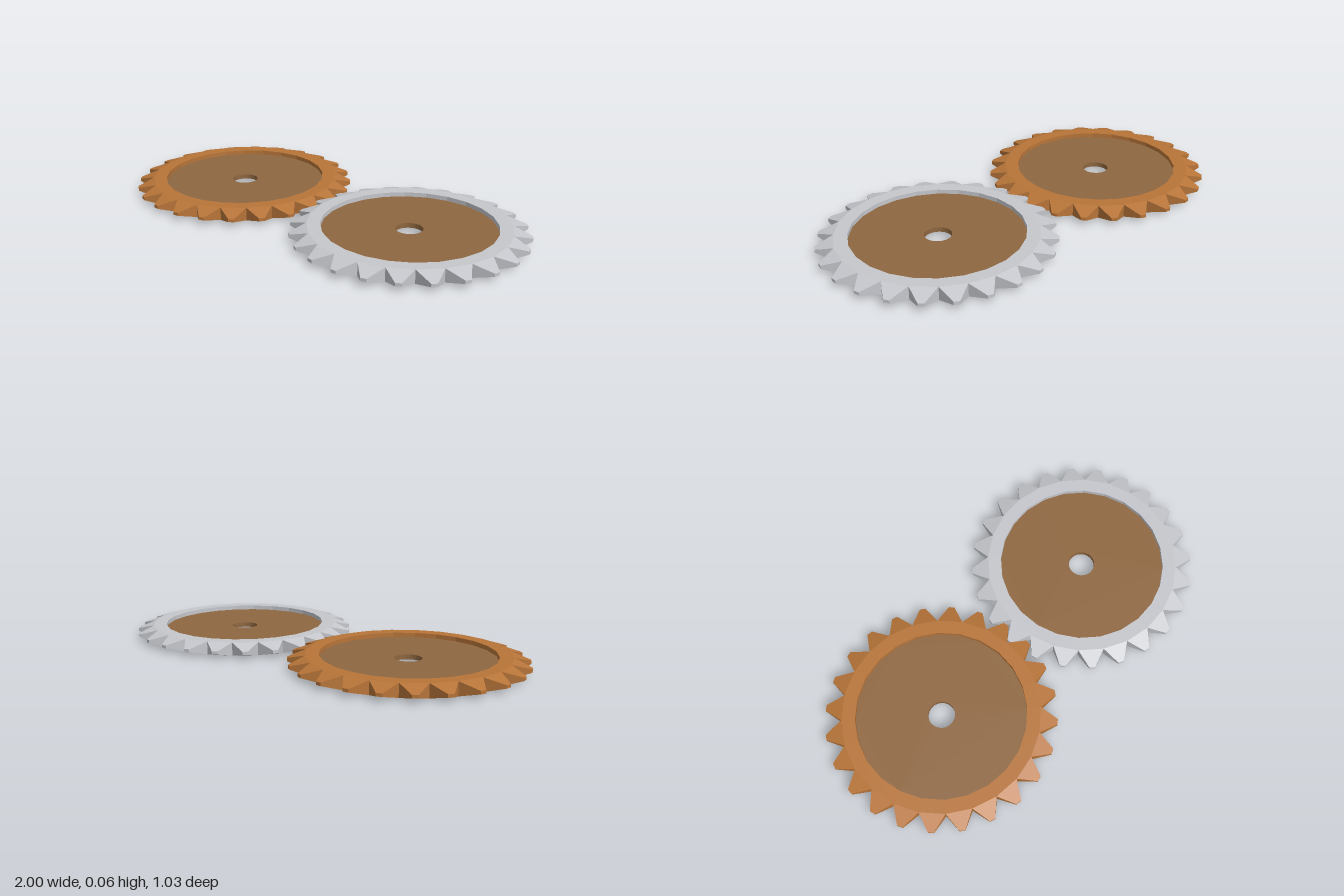
import * as THREE from 'three';

const TEETH = 24, STEP = (Math.PI * 2) / TEETH;
const INNER = 0.38, ROOT = 0.44, TIP = 0.515, HEIGHT = 0.06;

const material = (name, color) => {
  const m = new THREE.MeshStandardMaterial({ color });
  m.name = name;
  return m;
};

// Point on a circle around the gear's axis
const polar = (r, a, y) => [r * Math.cos(a), y, -r * Math.sin(a)];

// Flat ring with teeth that taper to a small blunt tip at mid height
function toothedRingGeometry() {
  const pos = [];
  const quad = (a, b, c, d) => pos.push(...a, ...b, ...c, ...a, ...c, ...d);
  const tipHalf = 0.025, tipLow = 0.023, tipHigh = 0.037;
  for (let i = 0; i < TEETH; i++) {
    const mid = i * STEP, a0 = mid - STEP / 2, a1 = mid + STEP / 2;
    const [i0b, i1b, i0t, i1t] = [[a0, 0], [a1, 0], [a0, HEIGHT], [a1, HEIGHT]].map(([a, y]) => polar(INNER, a, y));
    const [r0b, r1b, r0t, r1t] = [[a0, 0], [a1, 0], [a0, HEIGHT], [a1, HEIGHT]].map(([a, y]) => polar(ROOT, a, y));
    const [t0b, t1b, t0t, t1t] = [[-1, tipLow], [1, tipLow], [-1, tipHigh], [1, tipHigh]]
      .map(([s, y]) => polar(TIP, mid + s * tipHalf, y));
    // rim: top, bottom, inner wall
    quad(i0t, r0t, r1t, i1t);
    quad(i1b, r1b, r0b, i0b);
    quad(i0b, i0t, i1t, i1b);
    // tooth: top, bottom, two flanks, tip
    quad(r0t, t0t, t1t, r1t);
    quad(r1b, t1b, t0b, r0b);
    quad(r0b, t0b, t0t, r0t);
    quad(r1t, t1t, t1b, r1b);
    quad(t0b, t1b, t1t, t0t);
  }
  const g = new THREE.BufferGeometry();
  g.setAttribute('position', new THREE.Float32BufferAttribute(pos, 3));
  g.computeVertexNormals();
  return g;
}

// Recessed web with a round axle hole
function webGeometry() {
  const shape = new THREE.Shape().absarc(0, 0, INNER + 0.004, 0, Math.PI * 2, false);
  shape.holes.push(new THREE.Path().absarc(0, 0, 0.06, 0, Math.PI * 2, true));
  return new THREE.ExtrudeGeometry(shape, { depth: 0.022, bevelEnabled: false, curveSegments: 12 })
    .rotateX(-Math.PI / 2)
    .rotateY(STEP / 2)
    .translate(0, 0.018, 0);
}

export function createModel() {
  const copper = material('copper', 0xb87539);
  const silver = material('silver', 0xc5c7cc);
  const brown = material('brown', 0x8f6740);
  const ringGeo = toothedRingGeometry(), webGeo = webGeometry();

  const gear = (name, x, turn, ringMaterial) => {
    const group = new THREE.Group();
    group.name = name;
    const ring = new THREE.Mesh(ringGeo, ringMaterial);
    ring.name = 'toothedRing';
    const web = new THREE.Mesh(webGeo, brown);
    web.name = 'gearWeb';
    group.add(ring, web);
    group.position.x = x;
    group.rotation.y = turn;
    return group;
  };

  // The copper gear is turned half a tooth so the two mesh together
  const model = new THREE.Group();
  model.name = 'gearPair';
  model.add(
    gear('copperGear', -0.488, STEP / 2, copper),
    gear('silverGear', 0.485, 0, silver),
  );
  return model;
}
